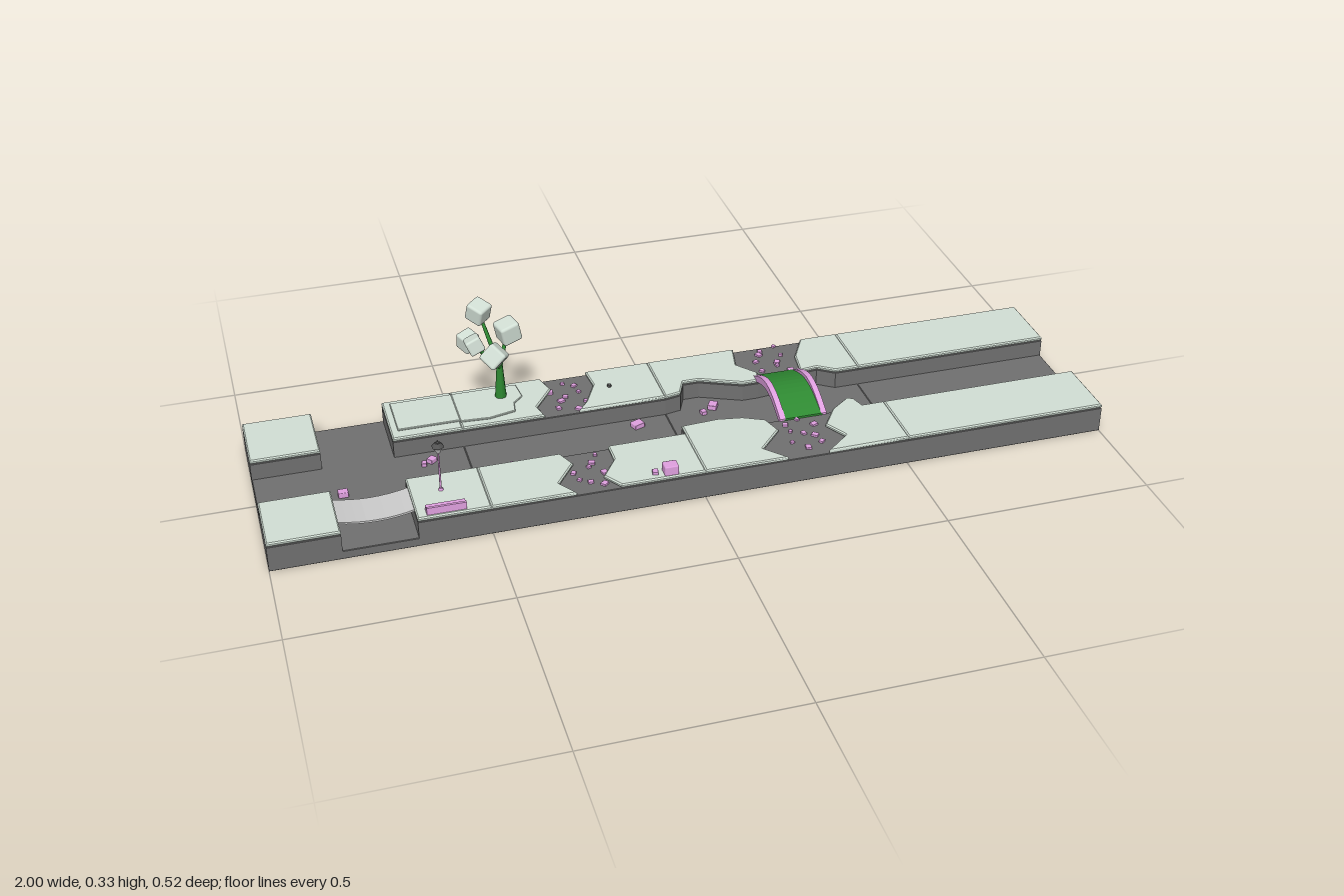
import * as THREE from 'three';
import { RoundedBoxGeometry } from 'three/addons/geometries/RoundedBoxGeometry.js';

const mat = (color) => new THREE.MeshStandardMaterial({ color });
const EARTH = mat(0x707070), GRASS = mat(0xd2dfd5), PINK = mat(0xe0a0e0), GREEN = mat(0x2f8a32),
  PALE = mat(0xcccccc), DARK = mat(0x555555);
const BACK = -0.243, FRONT = 0.257, INB = -0.077, INF = 0.093; // outer and channel edges in z
const FLOOR = 0.022, SOIL = 0.065, TOP = 0.075;

export function createModel() {
  const model = new THREE.Group();

  const add = (name, geo, material, x = 0, y = 0, z = 0, parent = model) => {
    const m = new THREE.Mesh(geo, material);
    m.name = name;
    m.position.set(x, y, z);
    parent.add(m);
    return m;
  };

  // Flat slab with an [x, z] outline and slightly bevelled edges
  const slab = (name, pts, y0, y1, material, bevel = 0.0015) => {
    const shape = new THREE.Shape(pts.map(([x, z]) => new THREE.Vector2(x, -z)));
    const geo = new THREE.ExtrudeGeometry(shape, {
      depth: y1 - y0 - 2 * bevel, bevelEnabled: bevel > 0, bevelThickness: bevel,
      bevelSize: bevel, bevelOffset: -bevel, bevelSegments: 1,
    });
    geo.rotateX(-Math.PI / 2);
    return add(name, geo, material, 0, y0 + bevel, 0);
  };
  const rect = (x0, x1, z0, z1) => [[x0, z0], [x1, z0], [x1, z1], [x0, z1]];
  // Earth bank with a full grass cover
  const bank = (name, pts) => {
    slab(name + 'Earth', pts, 0, SOIL, EARTH);
    slab(name + 'Grass', pts, SOIL, TOP, GRASS, 0.003);
  };

  // Channel floor, one tile per section
  for (let i = 0; i < 4; i++) {
    slab('channelFloor', rect(-1 + i * 0.5, -0.5 + i * 0.5, BACK, FRONT), 0, FLOOR, EARTH);
  }

  // Crossing section: four corner blocks
  for (const [x0, x1] of [[-1, -0.837], [-0.667, -0.5]]) {
    bank('backCorner', rect(x0, x1, BACK, INB));
    bank('frontCorner', rect(x0, x1, INF, FRONT));
  }

  // Straight end section
  bank('backEndBank', rect(0.5, 1, BACK, INB));
  bank('frontEndBank', rect(0.5, 1, INF, FRONT));

  // Second section: banks split by a winding dirt path
  slab('backBankEarth', rect(-0.5, 0, BACK, INB), 0, SOIL, EARTH);
  slab('frontBankEarth', rect(-0.5, 0, INF, FRONT), 0, SOIL, EARTH);
  const grass = (name, pts) => slab(name, pts, SOIL, TOP, GRASS, 0.003);
  grass('backGrass', [[-0.5, BACK], [-0.275, BACK], [-0.26, -0.19], [-0.31, -0.12], [-0.3, INB], [-0.5, INB]]);
  grass('backGrass', [[-0.16, BACK], [0, BACK], [0, INB], [-0.215, INB], [-0.19, -0.11], [-0.155, -0.18]]);
  grass('frontGrass', [[-0.5, INF], [-0.305, INF], [-0.285, 0.14], [-0.335, 0.21], [-0.305, FRONT], [-0.5, FRONT]]);
  grass('frontGrass', [[-0.19, INF], [0, INF], [0, FRONT], [-0.2, FRONT], [-0.23, 0.21], [-0.19, 0.15]]);

  // Third section: uneven banks, paths lead to the arched bridge
  slab('backBankEarth', [[0, BACK], [0.5, BACK], [0.5, INB], [0.44, INB], [0.4, -0.105], [0.36, -0.1],
    [0.24, -0.085], [0.2, -0.085], [0.1, -0.13], [0.06, -0.13], [0.04, -0.085], [0, INB]], 0, SOIL, EARTH);
  slab('frontBankEarth', [[0, 0.06], [0.09, 0.055], [0.15, 0.065], [0.2, 0.09], [0.37, 0.09], [0.42, 0.052],
    [0.435, 0.06], [0.445, INF], [0.5, INF], [0.5, FRONT], [0, FRONT]], 0, SOIL, EARTH);
  grass('backGrass', [[0, BACK], [0.225, BACK], [0.21, -0.17], [0.25, -0.12], [0.24, -0.085], [0.2, -0.085],
    [0.1, -0.13], [0.06, -0.13], [0.04, -0.085], [0, INB]]);
  grass('backGrass', [[0.405, BACK], [0.5, BACK], [0.5, INB], [0.44, INB], [0.4, -0.105], [0.355, -0.1], [0.365, -0.17]]);
  grass('frontGrass', [[0, 0.06], [0.09, 0.055], [0.15, 0.065], [0.2, 0.09], [0.215, 0.14], [0.155, 0.205],
    [0.2, FRONT], [0, FRONT]]);
  grass('frontGrass', [[0.37, 0.09], [0.42, 0.052], [0.435, 0.06], [0.445, INF], [0.5, INF], [0.5, FRONT],
    [0.3, FRONT], [0.36, 0.205], [0.33, 0.15]]);

  // Low raised lawns
  slab('raisedLawn', rect(-0.65, -0.5, -0.225, -0.105), TOP, 0.08, GRASS);
  slab('raisedLawn', [[-0.5, -0.225], [-0.34, -0.225], [-0.335, -0.17], [-0.36, -0.145], [-0.365, -0.11],
    [-0.43, -0.095], [-0.5, -0.1]], TOP, 0.08, GRASS);

  // Arched bridge: ring segment profile in z and y, swept along x
  const arch = (name, x0, x1, yMid, thick, material) => {
    const s = new THREE.Shape();
    const n = 12, pt = (t, d) => [-0.115 + 0.21 * t, 0.07 + (yMid - 0.07) * Math.sin(Math.PI * t) - d];
    for (let i = 0; i <= n; i++) i ? s.lineTo(...pt(i / n, 0)) : s.moveTo(...pt(0, 0));
    for (let i = n; i >= 0; i--) s.lineTo(...pt(i / n, thick));
    // Shape x runs along -z, depth along +x
    const geo = new THREE.ExtrudeGeometry(s, { depth: x1 - x0, bevelEnabled: false });
    geo.rotateY(-Math.PI / 2);
    add(name, geo, material, x1, 0, 0);
  };
  arch('bridgeDeck', 0.246, 0.342, 0.098, 0.007, GREEN);
  arch('bridgeRail', 0.235, 0.249, 0.108, 0.018, PINK);
  arch('bridgeRail', 0.339, 0.353, 0.108, 0.018, PINK);

  // Sagging plank bridge over the cross channel
  const sag = new THREE.Shape();
  const sagY = (x) => 0.057 + 0.011 * ((x + 0.752) / 0.088) ** 2;
  for (let i = 0; i <= 8; i++) {
    const x = -0.84 + 0.022 * i;
    i ? sag.lineTo(x, sagY(x)) : sag.moveTo(x, sagY(x));
  }
  for (let i = 8; i >= 0; i--) sag.lineTo(-0.84 + 0.022 * i, sagY(-0.84 + 0.022 * i) - 0.005);
  add('plankBridge', new THREE.ExtrudeGeometry(sag, { depth: 0.09, bevelEnabled: false }), PALE, 0, 0, 0.12);

  // Street lamp
  const lamp = new THREE.Group();
  lamp.name = 'streetLamp';
  lamp.position.set(-0.597, TOP, 0.161);
  model.add(lamp);
  add('lampFoot', new THREE.CylinderGeometry(0.004, 0.006, 0.006, 8), PINK, 0, 0.003, 0, lamp);
  add('lampPole', new THREE.CylinderGeometry(0.002, 0.0025, 0.102, 8), PINK, 0, 0.051, 0, lamp);
  add('lampGlass', new THREE.CylinderGeometry(0.011, 0.005, 0.016, 6), PALE, 0, 0.109, 0, lamp);
  add('lampCap', new THREE.CylinderGeometry(0.007, 0.015, 0.01, 6), DARK, 0, 0.122, 0, lamp);
  add('lampTip', new THREE.ConeGeometry(0.004, 0.008, 6), DARK, 0, 0.131, 0, lamp);

  // Bench
  add('benchSeat', new THREE.BoxGeometry(0.09, 0.012, 0.024), PINK, -0.6, 0.082, 0.24);
  add('benchBack', new THREE.BoxGeometry(0.09, 0.01, 0.006), PINK, -0.6, 0.09, 0.25);

  // Tree: tapered limbs and rounded leaf cubes
  const limb = (name, a, b, r0, r1) => {
    const p = new THREE.Vector3(...a), q = new THREE.Vector3(...b);
    const d = q.clone().sub(p), c = p.clone().add(q).multiplyScalar(0.5);
    const m = add(name, new THREE.CylinderGeometry(r1, r0, d.length(), 8), GREEN, c.x, c.y, c.z);
    m.quaternion.setFromUnitVectors(new THREE.Vector3(0, 1, 0), d.normalize());
  };
  limb('trunk', [-0.385, 0.076, -0.184], [-0.385, 0.17, -0.178], 0.0145, 0.0075);
  const fork = [-0.385, 0.165, -0.178];
  const leaves = [ // x, y, z, size, tilt
    [-0.42, 0.297, -0.228, 0.046, 0.4], [-0.355, 0.243, -0.211, 0.05, 0.05], [-0.405, 0.225, -0.132, 0.048, -0.45],
    [-0.45, 0.222, -0.225, 0.042, 0.25], [-0.445, 0.243, -0.168, 0.038, -0.15],
  ];
  for (const [x, y, z, s, t] of leaves) {
    limb('branch', fork, [x, y, z], 0.0065, 0.0035);
    add('leafCluster', new RoundedBoxGeometry(s, s, s, 2, s * 0.14), GRASS, x, y, z).rotation.set(t, t * 1.3 + 0.2, 0.25 - t);
  }

  // Stones: x, y, z, width, height
  const stone = (x, y, z, w, h, i) => {
    add('stone', new RoundedBoxGeometry(w, h, w * 0.85, 1, h * 0.15), PINK, x, y + h / 2, z).rotation.y = i * 0.7;
  };
  [[-0.805, 0.045, 0.024, 0.014], [-0.585, -0.035, 0.02, 0.012], [-0.605, -0.025, 0.014, 0.01],
    [-0.41, 0.05, 0.028, 0.014], [-0.655, 0.085, 0.018, 0.012], [-0.08, -0.045, 0.028, 0.013],
    [0.12, -0.075, 0.026, 0.013], [0.09, -0.055, 0.016, 0.01], [0.565, 0.06, 0.022, 0.015],
    [0.59, 0.045, 0.016, 0.01], [-0.02, 0.085, 0.018, 0.012],
  ].forEach(([x, z, w, h], i) => stone(x, FLOOR - 0.001, z, w, h, i));
  add('stoneBlock', new RoundedBoxGeometry(0.034, 0.025, 0.028, 1, 0.003), PINK, -0.08, 0.086, 0.24);
  stone(-0.115, TOP, 0.235, 0.016, 0.008, 2);
  add('lawnPebble', new THREE.DodecahedronGeometry(0.006), DARK, -0.12, 0.078, -0.158);

  // Small pebbles scattered on the dirt paths
  [[-0.225, -0.155], [0.3, -0.18], [-0.26, 0.17], [0.27, 0.16]].forEach(([cx, cz], p) => {
    for (let i = 0; i < 9; i++) {
      const x = cx + 0.038 * Math.sin(i * 2.4 + p), z = cz + (i - 4) * 0.015;
      stone(x, SOIL - 0.001, z, 0.01 + 0.003 * (i % 3), 0.006, i + p);
    }
  });

  return model;
}
